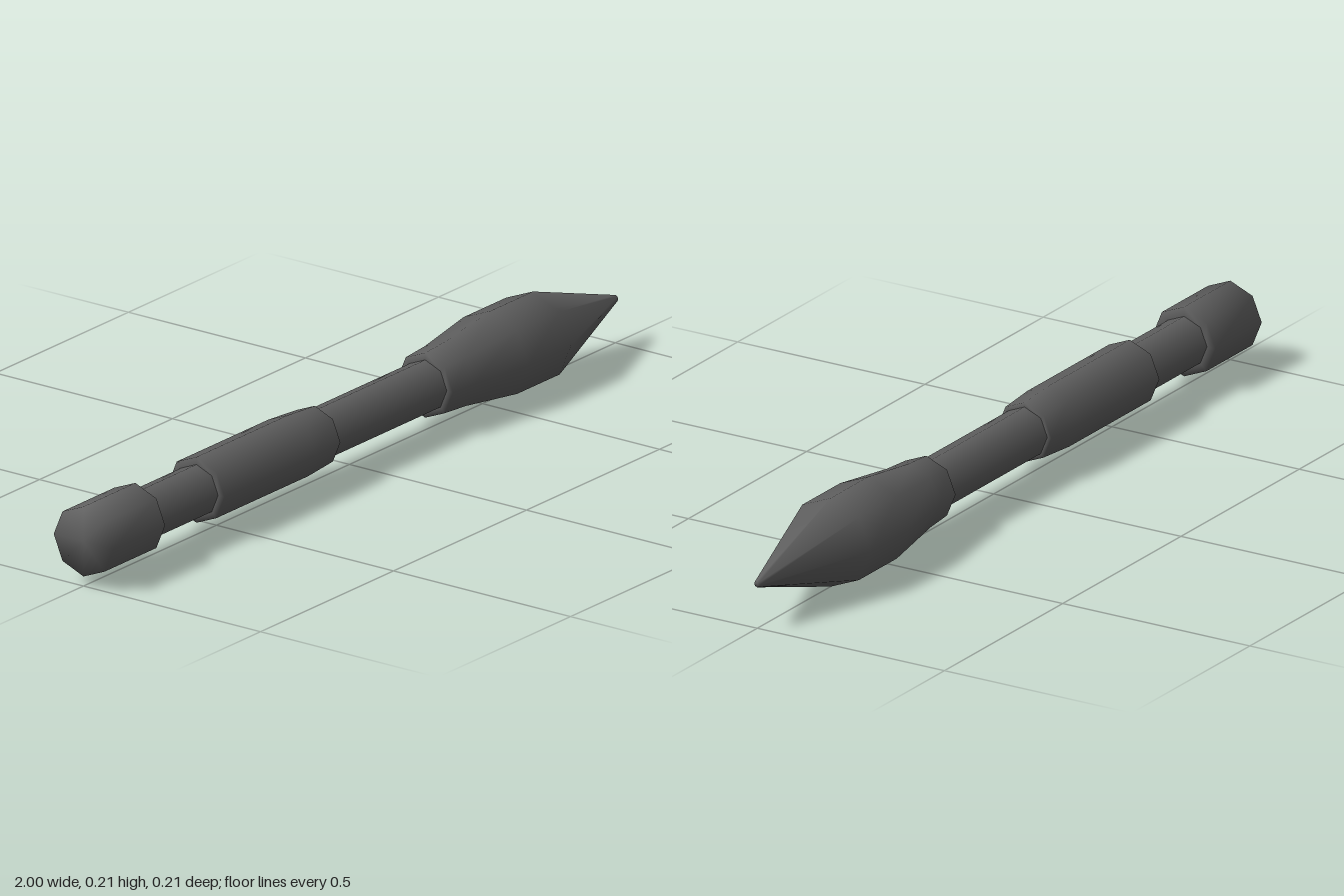
import * as THREE from 'three';

const CENTRE_Y = 0.107;

export function createModel() {
  const group = new THREE.Group();
  const darkGrey = new THREE.MeshStandardMaterial({ color: 0x5e5e5e });
  darkGrey.name = 'darkGrey';

  // Eight-sided turned part lying along x; profile is [x, radius] from tail to tip
  function turned(name, profile) {
    const points = profile.map(([x, r]) => new THREE.Vector2(r, x));
    const geometry = new THREE.LatheGeometry(points, 8);
    geometry.rotateZ(-Math.PI / 2);
    const mesh = new THREE.Mesh(geometry, darkGrey);
    mesh.name = name;
    mesh.position.y = CENTRE_Y;
    group.add(mesh);
  }

  // Thick cap at the tail
  turned('tailCap', [[-1, 0], [-1, 0.084], [-0.805, 0.084], [-0.805, 0.061]]);
  // Thin shaft between cap, sleeve and head
  turned('rearShaft', [[-0.805, 0.061], [-0.575, 0.061]]);
  turned('frontShaft', [[-0.13, 0.061], [0.285, 0.061]]);
  // Thicker sleeve with a slight taper at its front
  turned('sleeve', [[-0.575, 0.061], [-0.575, 0.079], [-0.23, 0.079], [-0.13, 0.072], [-0.13, 0.061]]);
  // Swelling head that narrows to a small blunt point
  turned('head', [
    [0.285, 0.061], [0.285, 0.078], [0.36, 0.083], [0.53, 0.107],
    [0.69, 0.107], [1, 0.008], [1, 0],
  ]);

  return group;
}
